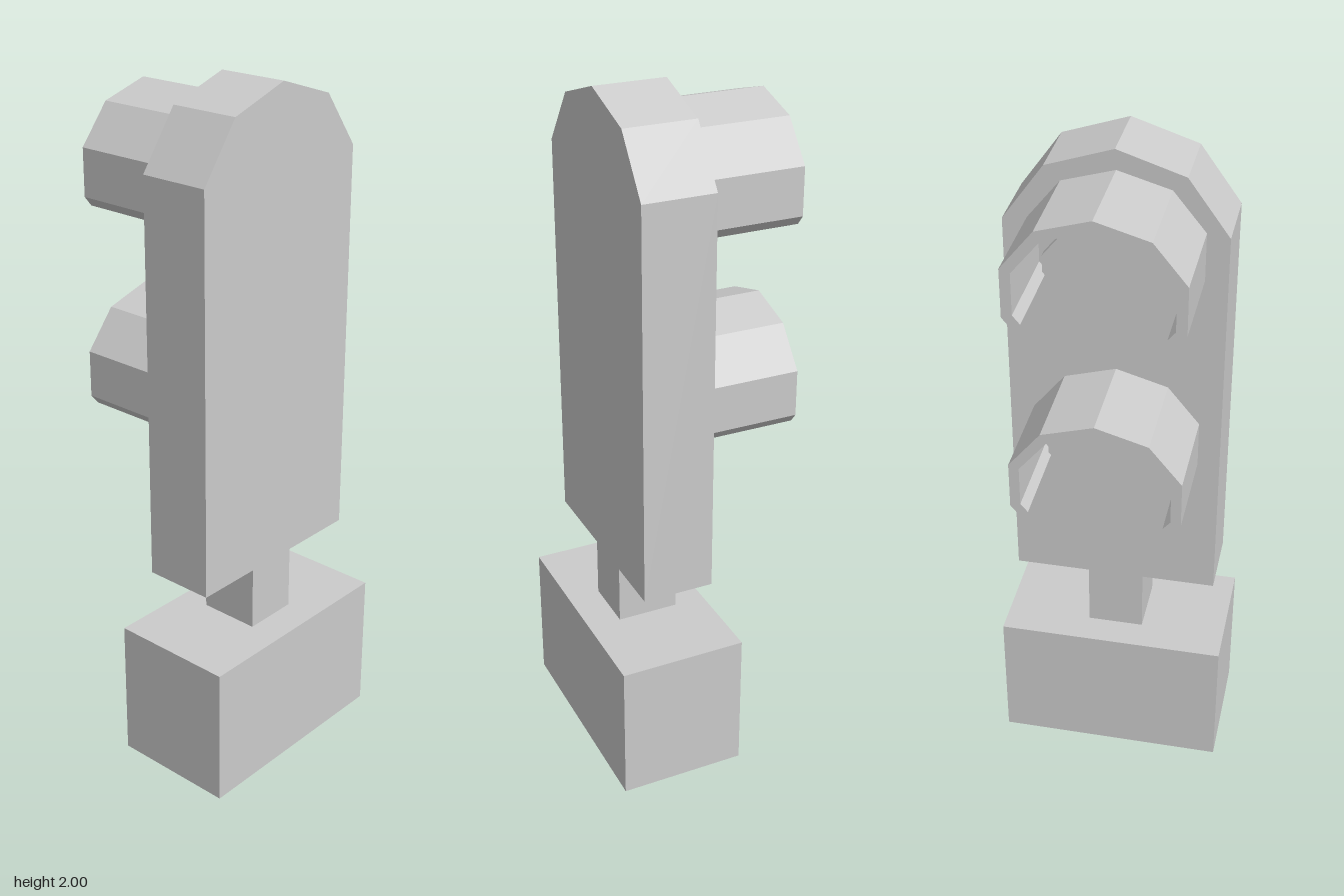
import * as THREE from 'three';

const material = new THREE.MeshStandardMaterial({ color: 0xcccccc, flatShading: true });

function add(parent, name, geometry) {
  const mesh = new THREE.Mesh(geometry, material);
  mesh.name = name;
  parent.add(mesh);
  return mesh;
}

// Box given by its limits on each axis
function box(parent, name, x0, x1, y0, y1, halfDepth) {
  const mesh = add(parent, name, new THREE.BoxGeometry(x1 - x0, y1 - y0, halfDepth * 2));
  mesh.position.set((x0 + x1) / 2, (y0 + y1) / 2, 0);
}

// Corner of a ten-sided ellipse, as [z, y]; step 0 is the top corner
function corner(step, rz, ry, cy = 0) {
  const a = Math.PI / 2 - step * Math.PI / 5;
  return new THREE.Vector2(Math.cos(a) * rz, Math.sin(a) * ry + cy);
}

// Extrude a z-y outline along x from x0 to x1
function slab(points, x0, x1) {
  const geometry = new THREE.ExtrudeGeometry(new THREE.Shape(points), { depth: x1 - x0, bevelEnabled: false });
  geometry.rotateY(-Math.PI / 2);
  geometry.translate(x1, 0, 0);
  return geometry;
}

// One side of the visor section: three full facets and a short turned-in lip
function visorArc(rz, ry) {
  const half = [1, 2, 3].map((i) => corner(i, rz, ry));
  half.push(half[2].clone().lerp(corner(4, rz, ry), 0.26));
  const mirrored = half.map((p) => new THREE.Vector2(-p.x, p.y)).reverse();
  return [...mirrored, corner(0, rz, ry), ...half];
}

export function createModel() {
  const model = new THREE.Group();
  model.name = 'signalLight';

  // Base and stem
  box(model, 'base', -0.083, 0.29, 0, 0.42, 0.337);
  box(model, 'stem', 0.01, 0.192, 0.42, 0.625, 0.083);

  // Housing with a faceted round top
  const top = [-2, -1, 0, 1, 2].map((i) => corner(i, 0.315, 0.315, 1.685));
  const outline = [new THREE.Vector2(-0.3, 0.625), ...top, new THREE.Vector2(0.3, 0.625)];
  add(model, 'housing', slab(outline, 0, 0.208));

  // Two lamps, each a thin lens under an open visor
  const lamps = [
    { name: 'upperLamp', y: 1.724, visorX: -0.285, lensX: -0.025 },
    { name: 'lowerLamp', y: 1.137, visorX: -0.29, lensX: -0.019 },
  ];
  for (const { name, y, visorX, lensX } of lamps) {
    const lamp = new THREE.Group();
    lamp.name = name;
    lamp.position.set(0, y, 0.003);
    model.add(lamp);

    const section = [...visorArc(0.247, 0.22), ...visorArc(0.217, 0.19).reverse()];
    add(lamp, 'visor', slab(section, visorX, 0));

    const rim = Array.from({ length: 10 }, (_, i) => corner(i, 0.203, 0.181, -0.083));
    add(lamp, 'lens', slab(rim, lensX, 0));
  }
  return model;
}
